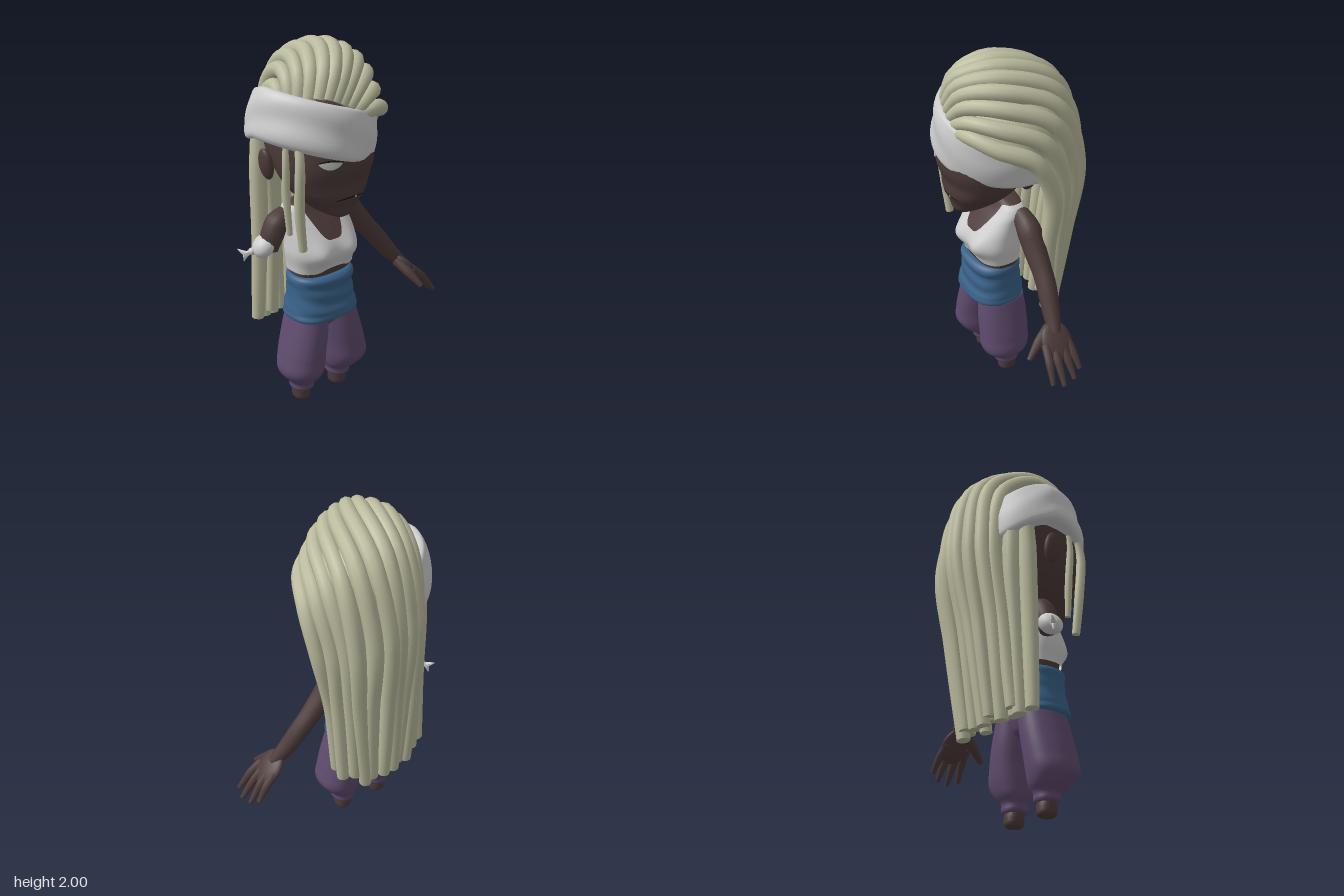
import * as THREE from 'three';
import { mergeVertices, toCreasedNormals } from 'three/addons/utils/BufferGeometryUtils.js';

const mat = (name, color, side = THREE.FrontSide) => {
  const m = new THREE.MeshStandardMaterial({ color, side });
  m.name = name;
  return m;
};
const V = (a) => new THREE.Vector3(...a);

export function createModel() {
  const root = new THREE.Group();
  root.name = 'character';
  const skin = mat('skin', 0x4c3b39);
  const hair = mat('hair', 0xbbbb9e);
  const cloth = mat('white cloth', 0xcbcbcb, THREE.DoubleSide);
  const blue = mat('blue sash', 0x396289);
  const purple = mat('purple trousers', 0x5f4b6e);
  const eyeWhite = mat('eye', 0xb9bdb2, THREE.DoubleSide);
  const dark = mat('dark lines', 0x1d1514, THREE.DoubleSide);

  const add = (name, geo, material, parent = root) => {
    const m = new THREE.Mesh(geo, material);
    m.name = name;
    parent.add(m);
    return m;
  };
  const group = (name) => {
    const g = new THREE.Group();
    g.name = name;
    root.add(g);
    return g;
  };

  // Indexed grid from a point function f(u, v)
  const grid = (f, nu, nv) => {
    const pos = [], idx = [];
    for (let j = 0; j <= nv; j++) for (let i = 0; i <= nu; i++) pos.push(...f(i / nu, j / nv));
    for (let j = 0; j < nv; j++) for (let i = 0; i < nu; i++) {
      const a = j * (nu + 1) + i, c = a + nu + 1;
      idx.push(a, c, a + 1, a + 1, c, c + 1);
    }
    let g = new THREE.BufferGeometry();
    g.setAttribute('position', new THREE.Float32BufferAttribute(pos, 3));
    g.setIndex(idx);
    g = mergeVertices(g, 1e-5);
    g.computeVertexNormals();
    return g;
  };

  // Body surface from rows of [y, centre x, half width, front z, back z]
  const surface = (rows, p = 2.2, bump = () => 0) => {
    const spline = new THREE.CubicInterpolant(rows.map((r) => r[0]), rows.flatMap((r) => r.slice(1)), 4);
    const pw = (c) => Math.sign(c) * Math.abs(c) ** (2 / p);
    return (th, y, off = 0) => {
      const [cx, rx, zf, zb] = spline.evaluate(y);
      const c = Math.cos(th), s = Math.sin(th);
      const w = Math.max(rx, 0.004) + off, d = Math.max((zf - zb) / 2, 0.004) + off;
      return [cx + w * pw(c), y, (zf + zb) / 2 + d * pw(s) + bump(th, y)];
    };
  };
  // Closed body: the first and last grid rows collapse to the middle as caps
  const whole = (rows, p, bump, nv = 40) => {
    const s = surface(rows, p, bump), y0 = rows[0][0], y1 = rows.at(-1)[0];
    return grid((u, v) => {
      const th = u * Math.PI * 2;
      const y = y0 + (y1 - y0) * THREE.MathUtils.clamp((v * nv - 1) / (nv - 2), 0, 1);
      if (v > 0 && v < 1) return s(th, y);
      const a = s(0, y), b = s(Math.PI, y);
      return a.map((n, k) => (n + b[k]) / 2);
    }, 40, nv);
  };
  const patch = (s, t0, t1, lo, hi, off, nu = 16, nv = 3) =>
    grid((u, v) => {
      const th = t0 + (t1 - t0) * u;
      return s(th, lo(u, th) + (hi(u, th) - lo(u, th)) * v, off);
    }, nu, nv);

  // Tapered tube with flat ends
  const limb = (pts, radii, segs = 24, sides = 12) => {
    const curve = new THREE.CatmullRomCurve3(pts.map((p) => (p.isVector3 ? p : V(p))));
    const g = new THREE.TubeGeometry(curve, segs, 1, sides);
    const pos = g.attributes.position, p = new THREE.Vector3();
    for (let i = 0; i <= segs; i++) {
      const t = THREE.MathUtils.clamp((i - 1) / (segs - 2), 0, 1);
      const from = curve.getPointAt(i / segs), to = curve.getPointAt(t);
      const k = Math.min(Math.floor(t * (radii.length - 1)), radii.length - 2);
      const f = t * (radii.length - 1) - k;
      const r = i === 0 || i === segs ? 0 : radii[k] * (1 - f) + radii[k + 1] * f;
      for (let j = 0; j <= sides; j++) {
        const n = i * (sides + 1) + j;
        p.fromBufferAttribute(pos, n).sub(from).multiplyScalar(r).add(to);
        pos.setXYZ(n, p.x, p.y, p.z);
      }
    }
    return toCreasedNormals(g, 0.9);
  };
  const blob = (name, c, r, material, parent, rz = 0) => {
    const m = add(name, new THREE.SphereGeometry(1, 24, 16), material, parent);
    m.position.set(...c);
    m.scale.set(...r);
    m.rotation.z = rz;
  };

  // Head, ears and face; the headband covers the left eye
  const headRows = [
    [1.125, -0.2, 0.03, 0.28, 0.2], [1.14, -0.2, 0.065, 0.305, 0.13], [1.19, -0.2, 0.13, 0.32, 0.02],
    [1.25, -0.2, 0.188, 0.342, -0.04], [1.32, -0.2, 0.232, 0.342, -0.08], [1.4, -0.2, 0.255, 0.365, -0.14],
    [1.5, -0.2, 0.265, 0.36, -0.2], [1.65, -0.2, 0.25, 0.32, -0.2], [1.78, -0.2, 0.16, 0.2, -0.12], [1.82, -0.2, 0.01, 0.04, 0.02]];
  const head = group('head');
  const face = surface(headRows);
  add('headShape', whole(headRows, 2.2, undefined, 48), skin, head);
  for (const s of [-1, 1]) blob('ear', [-0.2 + s * 0.28, 1.4, 0.02], [0.028, 0.085, 0.05], skin, head, -s * 0.15);
  const eyeAt = 2.04;
  add('eye', patch(face, eyeAt - 0.23, eyeAt + 0.23, (u) => 1.456 - 0.03 * Math.sin(u * Math.PI) ** 0.7,
    (u) => 1.458 + 0.008 * Math.sin(u * Math.PI), 0.006), eyeWhite, head);
  add('eyelidLine', patch(face, eyeAt - 0.25, eyeAt + 0.25, () => 1.457,
    (u) => 1.461 + 0.013 * Math.sin(u * Math.PI), 0.005), dark, head);
  add('mouth', patch(face, 1.13, 2.01, (u) => 1.243 + 0.006 * Math.sin(u * Math.PI),
    (u) => 1.247 + 0.011 * Math.sin(u * Math.PI), 0.004), dark, head);
  add('tooth', patch(face, 1.43, 1.49, () => 1.247, () => 1.257, 0.006, 2), eyeWhite, head);

  // Torso and open-necked vest share one surface
  const torsoRows = [
    [0.72, -0.2, 0.165, 0.19, -0.03], [0.83, -0.2, 0.174, 0.205, -0.03], [0.9, -0.2, 0.186, 0.222, -0.03],
    [0.97, -0.2, 0.182, 0.205, -0.035], [1.05, -0.2, 0.177, 0.15, -0.045], [1.11, -0.2, 0.174, 0.1, -0.05],
    [1.145, -0.2, 0.145, 0.08, -0.05], [1.17, -0.2, 0.06, 0.07, -0.04]];
  const bust = (th, y) => Math.sin(th) < 0 ? 0 : 0.035 * Math.exp(-(((y - 0.91) / 0.06) ** 2)) * Math.sin(th)
    * Math.exp(-(((Math.abs(Math.cos(th)) - 0.42) / 0.35) ** 2));
  const torso = surface(torsoRows, 2.6, bust);
  add('torso', whole(torsoRows, 2.6, bust), skin);
  add('neck', limb([[-0.2, 1.05, 0.02], [-0.2, 1.25, 0.06]], [0.075, 0.07]), skin);
  const scoop = (th, at, w) => Math.exp(-(Math.abs((th - at) / w) ** 3));
  add('vest', patch(torso, 0, Math.PI * 2,
    (u, th) => 0.8 + 0.02 * scoop(th, Math.PI / 2, 0.35),
    (u, th) => 1.148 - 0.17 * scoop(th, Math.PI / 2, 0.42) - 0.06 * scoop(th, Math.PI * 1.5, 0.6), 0.012, 96, 24), cloth);

  // Sash with soft uneven folds
  const folds = (th, y) => 0.004 * Math.sin(y * 75 + 2.5 * Math.sin(th) + 2 * Math.cos(th));
  add('sash', whole([
    [0.515, -0.205, 0.16, 0.21, -0.02], [0.525, -0.207, 0.19, 0.245, -0.05], [0.57, -0.208, 0.197, 0.25, -0.06],
    [0.62, -0.207, 0.187, 0.24, -0.055], [0.7, -0.207, 0.179, 0.23, -0.045], [0.765, -0.207, 0.179, 0.228, -0.04],
    [0.775, -0.207, 0.165, 0.215, -0.03]], 2.5, folds, 50), blue);

  // Baggy trousers and feet
  const trousers = group('trousers');
  add('hips', whole([
    [0.4, -0.2, 0.02, 0.1, 0.06], [0.44, -0.2, 0.07, 0.15, 0], [0.5, -0.2, 0.14, 0.2, -0.03],
    [0.58, -0.2, 0.17, 0.21, -0.04]], 2.2), purple, trousers);
  for (const s of [-1, 1]) {
    const x = (d) => -0.2 + s * d;
    add('trouserLeg', whole([
      [0.07, x(0.126), 0.055, 0.135, 0.015], [0.078, x(0.126), 0.062, 0.145, 0.01], [0.115, x(0.126), 0.064, 0.15, 0.01],
      [0.15, x(0.133), 0.09, 0.19, -0.015], [0.21, x(0.147), 0.117, 0.235, -0.035], [0.3, x(0.137), 0.116, 0.24, -0.045],
      [0.42, x(0.113), 0.11, 0.235, -0.05], [0.54, x(0.09), 0.1, 0.22, -0.045]]), purple, trousers);
    add('foot', whole([
      [0, x(0.126), 0.035, 0.11, 0.035], [0.01, x(0.126), 0.044, 0.122, 0.025], [0.04, x(0.126), 0.049, 0.125, 0.022],
      [0.1, x(0.126), 0.045, 0.115, 0.035]]), skin);
  }

  // Left arm with open hand
  const arm = group('leftArm');
  add('armShape', limb([[-0.04, 1.09, 0], [0.03, 1.06, 0], [0.12, 0.95, 0.005], [0.24, 0.81, 0.015], [0.33, 0.69, 0.04], [0.41, 0.6, 0.065]],
    [0.05, 0.068, 0.062, 0.055, 0.054, 0.047, 0.034]), skin, arm);
  blob('palm', [0.435, 0.57, 0.07], [0.11, 0.03, 0.088], skin, arm, -0.85);
  const tips = [[0.555, 0.43, 0], [0.58, 0.4, 0.05], [0.59, 0.39, 0.12], [0.57, 0.41, 0.18]];
  tips.forEach(([x, y, z], i) => {
    const base = 0.012 + i * 0.042;
    add('finger', limb([[0.43, 0.57, base], [0.5, 0.505, (base + z) / 2], [x, y, z]], [0.026, 0.023, 0.013], 14, 8), skin, arm);
  });
  add('thumb', limb([[0.37, 0.62, 0.075], [0.39, 0.57, 0.15], [0.42, 0.5, 0.235]], [0.034, 0.028, 0.014], 14, 8), skin, arm);

  // Short right arm with tied bandage
  const stump = group('shortRightArm');
  add('upperArm', limb([[-0.35, 1.09, 0], [-0.41, 1.05, 0], [-0.45, 0.97, 0], [-0.465, 0.92, 0]], [0.05, 0.065, 0.062, 0.05]), skin, stump);
  blob('bandage', [-0.485, 0.945, -0.01], [0.07, 0.052, 0.064], cloth, stump, 0.7);
  blob('knot', [-0.545, 0.92, -0.035], [0.022, 0.02, 0.02], cloth, stump);
  for (const tip of [[-0.595, 0.925, -0.095], [-0.575, 0.86, -0.07]])
    add('knotTail', limb([[-0.545, 0.92, -0.035], [-0.565, 0.905, -0.055], tip], [0.01, 0.015, 0.003], 10, 6), cloth, stump);

  // Slanted headband: closed profile of [outward, up] swept round an oval
  const bandLoop = new THREE.CatmullRomCurve3([[-0.09, -0.1], [-0.01, -0.128], [0.012, -0.1], [0.01, 0], [0, 0.09], [-0.02, 0.125], [-0.07, 0.115], [-0.08, 0]]
    .map(([a, b]) => new THREE.Vector3(a, b, 0)), true);
  add('headband', grid((u, v) => {
    const th = u * Math.PI * 2, c = Math.cos(th), s = Math.sin(th), q = bandLoop.getPoint(v);
    const r = q.x + 0.004 * Math.sin(q.y * 38 + 2 * Math.sin(th * 2));
    const x = -0.2 + (0.318 + r) * c, z = ((s > 0 ? 0.365 : 0.25) + r) * s;
    return [x + q.y * 0.18, 1.575 - 0.31 * (x + 0.2) + q.y + 0.25 * Math.min(z, 0), z];
  }, 72, 32), cloth);

  // Hair: guide strands from the right side (first) to the left side (last)
  const locks = group('hair');
  const guides = [
    [[-0.43, 1.64, 0.03], [-0.425, 1.7, 0], [-0.42, 1.7, -0.04], [-0.42, 1.58, -0.1], [-0.425, 1.35, -0.11], [-0.43, 0.95, -0.11], [-0.46, 0.47, -0.12]],
    [[-0.39, 1.73, 0.16], [-0.375, 1.83, 0.14], [-0.33, 1.9, 0.03], [-0.27, 1.81, -0.18], [-0.28, 1.45, -0.27], [-0.31, 0.95, -0.23], [-0.33, 0.46, -0.19]],
    [[-0.31, 1.76, 0.27], [-0.26, 1.88, 0.25], [-0.15, 1.955, 0.08], [-0.08, 1.84, -0.21], [-0.1, 1.46, -0.325], [-0.14, 0.95, -0.27], [-0.17, 0.44, -0.22]],
    [[-0.22, 1.72, 0.3], [-0.14, 1.82, 0.28], [0.01, 1.86, 0.14], [0.11, 1.74, -0.13], [0.1, 1.4, -0.255], [0.06, 0.95, -0.23], [0, 0.44, -0.2]],
    [[-0.11, 1.65, 0.31], [-0.02, 1.66, 0.295], [0.1, 1.62, 0.21], [0.185, 1.54, 0.05], [0.175, 1.3, -0.06], [0.12, 0.95, -0.08], [0.1, 0.5, -0.09]]];
  const across = guides[0].map((_, k) => new THREE.CatmullRomCurve3(guides.map((g) => V(g[k]))));
  const strand = (u, i) => across.map((c, k) => {
    const p = c.getPoint(u);
    if (k > 3) p.x += 0.014 * Math.sin(i * 2.1 + k);
    if (k === 6) p.y += 0.025 * Math.sin(i * 3.7);
    return p;
  });
  for (let i = 0; i < 12; i++)
    add('dreadlock', limb(strand(i / 11, i), [0.034, 0.044, 0.048, 0.047, 0.044, 0.04, 0.035], 44, 10), hair, locks);
  // Under layer that thickens the hanging hair
  for (let i = 0; i < 9; i++) {
    const pts = strand((i + 0.5) / 9, i + 4).slice(2);
    pts.forEach((p) => { p.x += (-0.14 - p.x) * 0.14; p.z += (-0.08 - p.z) * 0.3; });
    pts[0].y -= 0.1;
    pts[1].y -= 0.06;
    if (i > 5) pts[4].y = 0.7 - 0.1 * (i % 2);
    add('underDreadlock', limb(pts, [0.03, 0.04, 0.04, 0.036, 0.032], 36, 10), hair, locks);
  }
  // Loose strands in front of the ear
  add('looseLock', limb([[-0.43, 1.58, 0.22], [-0.445, 1.45, 0.25], [-0.44, 1.2, 0.235], [-0.415, 0.98, 0.225]], [0.02, 0.026, 0.026, 0.022], 24, 10), hair, locks);
  add('looseLock', limb([[-0.45, 1.58, 0.15], [-0.462, 1.45, 0.16], [-0.455, 1.25, 0.15], [-0.44, 1.05, 0.15]], [0.016, 0.02, 0.02, 0.016], 24, 10), hair, locks);
  // Scalp beneath the strands
  const scalp = add('scalp', new THREE.SphereGeometry(1, 32, 20, 0, Math.PI * 2, 0, Math.PI * 0.55), hair, locks);
  scalp.position.set(-0.12, 1.58, -0.01);
  scalp.scale.set(0.285, 0.34, 0.295);
  scalp.rotation.set(-0.45, 0, -0.25);

  return root;
}
